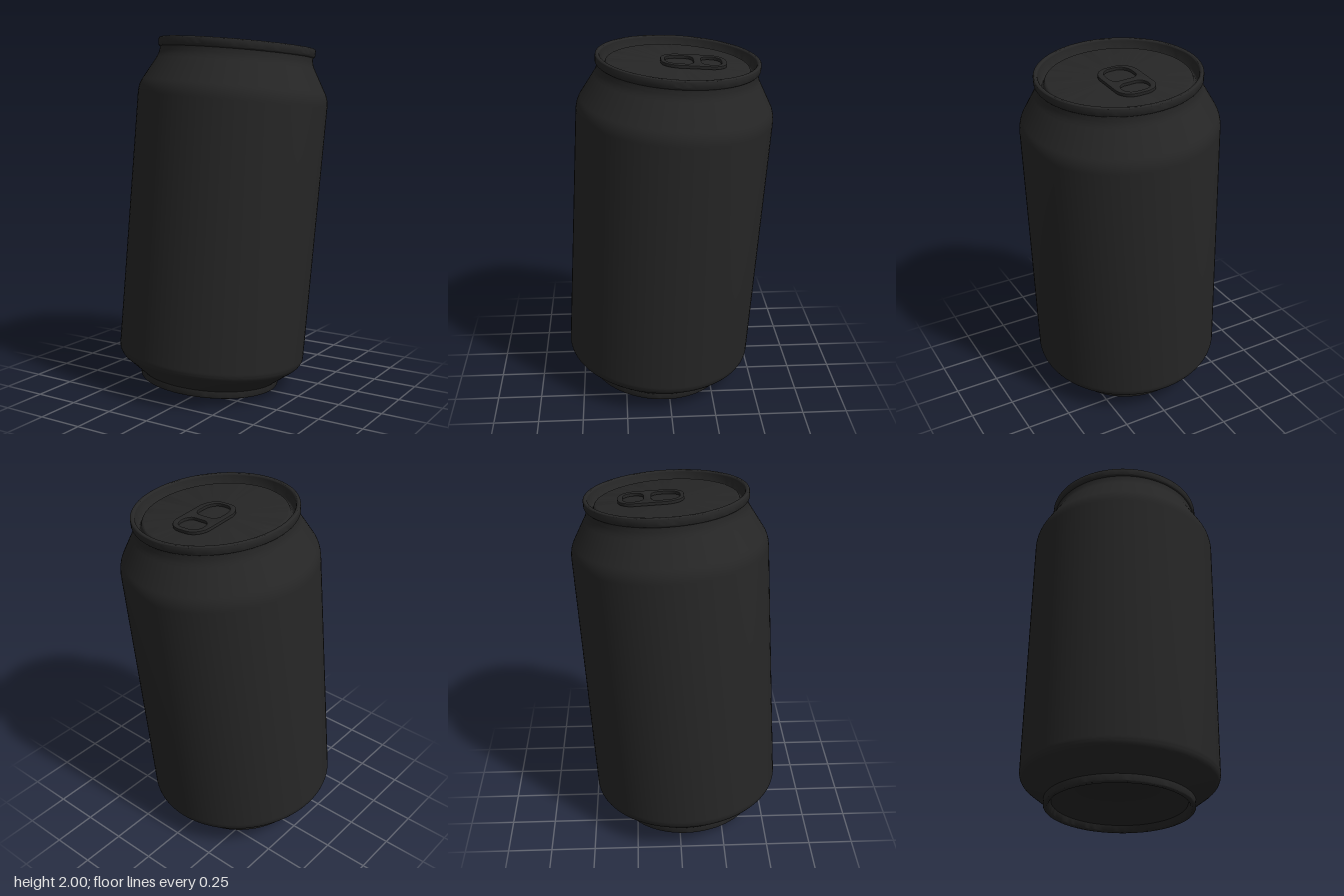
import * as THREE from 'three';
import { toCreasedNormals } from 'three/addons/utils/BufferGeometryUtils.js';

const material = new THREE.MeshStandardMaterial({ color: 0x262626 });

function addMesh(parent, name, geometry, crease = 0.6) {
  const mesh = new THREE.Mesh(toCreasedNormals(geometry, crease), material);
  mesh.name = name;
  parent.add(mesh);
  return mesh;
}

// Turns a path of (radius, height) into a round surface
const revolve = (path) => new THREE.LatheGeometry(path.getPoints(8), 96);

// Closed rounded outline from half width, y range and corner radii at both ends
function roundedOutline(target, w, y0, y1, r0, r1, w0 = w) {
  target.moveTo(-w0 + r0, y0);
  target.lineTo(w0 - r0, y0);
  target.bezierCurveTo(w0 - r0 * 0.45, y0, w0, y0 + r0 * 0.45, w, y0 + r0 * 1.15);
  target.lineTo(w, y1 - r1);
  target.bezierCurveTo(w, y1 - r1 * 0.45, w - r1 * 0.45, y1, w - r1, y1);
  target.lineTo(-w + r1, y1);
  target.bezierCurveTo(-w + r1 * 0.45, y1, -w, y1 - r1 * 0.45, -w, y1 - r1);
  target.lineTo(-w, y0 + r0 * 1.15);
  target.bezierCurveTo(-w0, y0 + r0 * 0.45, -w0 + r0 * 0.45, y0, -w0 + r0, y0);
  return target;
}

export function createModel() {
  const model = new THREE.Group();
  const can = new THREE.Group();
  can.name = 'can';
  model.add(can);

  // Domed underside and foot ring
  const base = new THREE.Path();
  base.moveTo(0, 0.12);
  base.quadraticCurveTo(0.22, 0.115, 0.36, 0.035);
  base.lineTo(0.372, 0.008);
  base.quadraticCurveTo(0.377, 0, 0.385, 0);
  base.quadraticCurveTo(0.398, 0, 0.4, 0.01);
  base.lineTo(0.4, 0.042);
  addMesh(can, 'base', revolve(base));

  // Side wall with lower chamfer, shoulder and neck
  const wall = new THREE.Path();
  wall.moveTo(0.4, 0.042);
  wall.lineTo(0.508, 0.128);
  wall.quadraticCurveTo(0.535, 0.15, 0.535, 0.185);
  wall.lineTo(0.535, 1.62);
  wall.quadraticCurveTo(0.535, 1.665, 0.515, 1.7);
  wall.lineTo(0.445, 1.825);
  wall.quadraticCurveTo(0.43, 1.852, 0.43, 1.885);
  addMesh(can, 'wall', revolve(wall));

  // Rolled rim
  const rim = new THREE.Path();
  rim.moveTo(0.43, 1.885);
  rim.quadraticCurveTo(0.441, 1.89, 0.441, 1.9);
  rim.lineTo(0.441, 1.924);
  rim.quadraticCurveTo(0.441, 1.936, 0.43, 1.936);
  rim.quadraticCurveTo(0.419, 1.936, 0.417, 1.926);
  addMesh(can, 'rim', revolve(rim));

  // Recessed lid with a groove around its panel
  const lid = new THREE.Path();
  lid.moveTo(0.417, 1.926);
  lid.lineTo(0.409, 1.875);
  lid.quadraticCurveTo(0.4, 1.857, 0.391, 1.875);
  lid.lineTo(0.386, 1.89);
  lid.quadraticCurveTo(0.382, 1.898, 0.372, 1.898);
  lid.lineTo(0, 1.898);
  addMesh(can, 'lid', revolve(lid));

  // Pull tab with two openings
  const outline = roundedOutline(new THREE.Shape(), 0.107, -0.09, 0.255, 0.075, 0.085, 0.1);
  outline.holes.push(
    roundedOutline(new THREE.Path(), 0.08, 0.118, 0.235, 0.05, 0.056),
    roundedOutline(new THREE.Path(), 0.08, -0.076, 0.084, 0.066, 0.045, 0.078));
  const tabGeometry = new THREE.ExtrudeGeometry(outline, {
    depth: 0.01, curveSegments: 10,
    bevelEnabled: true, bevelThickness: 0.004, bevelSize: 0.004, bevelSegments: 2,
  });
  const tab = addMesh(can, 'pullTab', tabGeometry, 0.7);
  tab.rotation.x = -Math.PI / 2;
  tab.position.y = 1.904;

  // The whole can leans to its left and backwards
  const axis = new THREE.Vector3(0.06, 1, -0.06).normalize();
  can.quaternion.setFromUnitVectors(new THREE.Vector3(0, 1, 0), axis);
  can.position.set(-0.057, 0.033, 0.057);
  return model;
}
